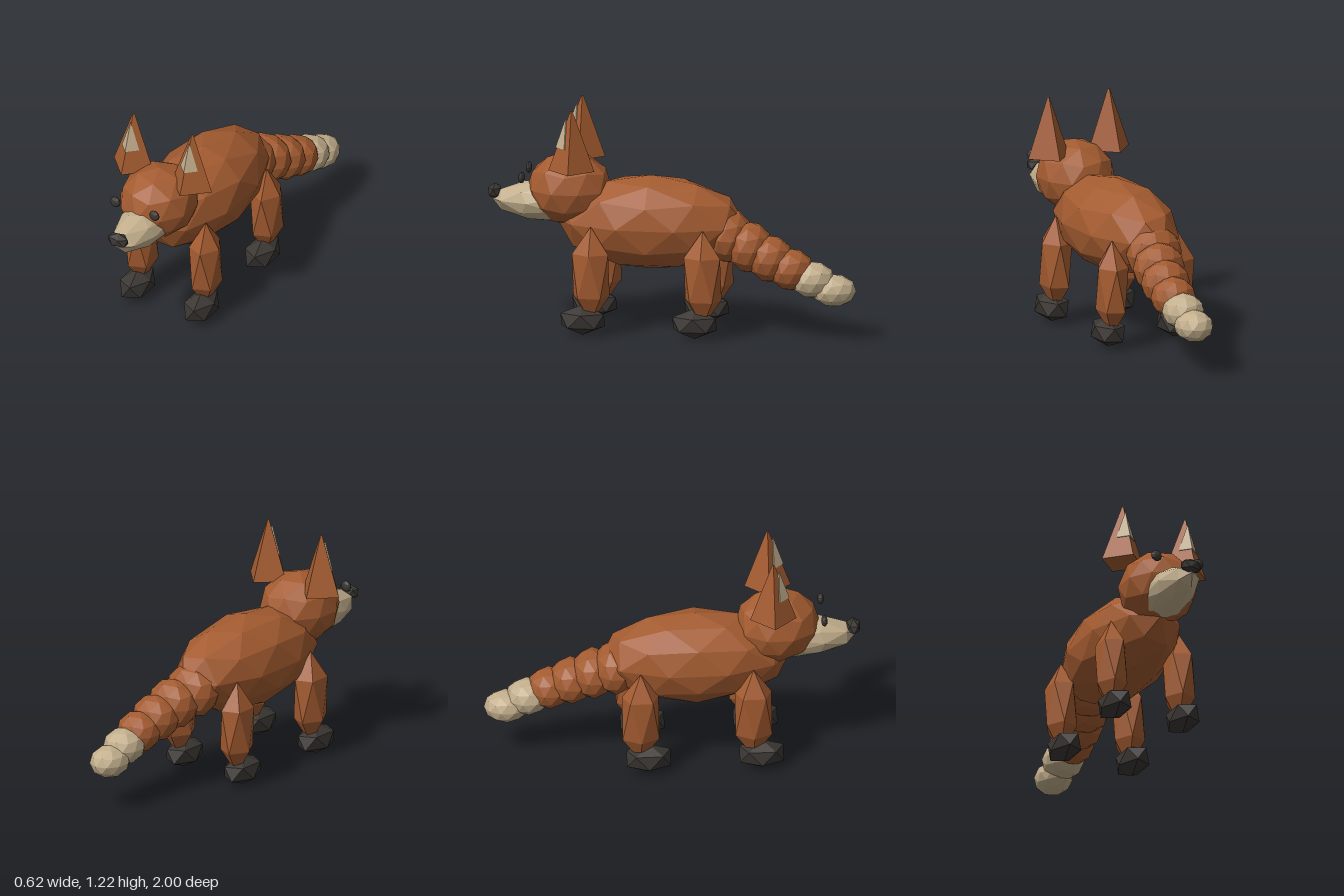
import * as THREE from 'three';

const flat = (name, color) => {
  const m = new THREE.MeshStandardMaterial({ color, flatShading: true });
  m.name = name;
  return m;
};

// Icosahedron standing on one corner, with each edge optionally halved
function icoSphere(detail) {
  const v = [0, 1, 0], f = [];
  const ring = Math.sqrt(0.8), h = Math.sqrt(0.2);
  for (const [y, offset] of [[h, 0], [-h, Math.PI / 5]]) {
    for (let k = 0; k < 5; k++) {
      const a = offset + k * Math.PI * 0.4;
      v.push(ring * Math.cos(a), y, -ring * Math.sin(a));
    }
  }
  v.push(0, -1, 0);
  for (let k = 0; k < 5; k++) {
    const n = (k + 1) % 5;
    const u0 = 1 + k, u1 = 1 + n, l0 = 6 + k, l1 = 6 + n;
    f.push(0, u0, u1, u0, l0, u1, l0, l1, u1, 11, l1, l0);
  }
  return new THREE.PolyhedronGeometry(v, f, 1, detail);
}

export function createModel() {
  const fox = new THREE.Group();
  fox.name = 'fox';

  const rust = flat('rust fur', 0xa35b30);
  const cream = flat('cream fur', 0xc2ae8c);
  const dark = flat('dark', 0x3a3632);

  const coarse = icoSphere(0);
  const fine = icoSphere(1);
  const fineForward = icoSphere(1).rotateX(Math.PI / 2);

  const add = (name, geometry, material, position, scale = [1, 1, 1]) => {
    const mesh = new THREE.Mesh(geometry, material);
    mesh.name = name;
    mesh.position.set(...position);
    mesh.scale.set(...scale);
    fox.add(mesh);
    return mesh;
  };

  // Body, head and face
  add('body', fine, rust, [0, 0.585, 0.12], [0.256, 0.255, 0.51]);
  add('head', fine, rust, [0, 0.755, 0.56], [0.21, 0.2, 0.228]);
  add('muzzle', fineForward, cream, [0, 0.682, 0.615], [0.134, 0.115, 0.365]);
  add('nose', coarse, dark, [0, 0.722, 0.965], [0.068, 0.043, 0.041]);

  const outerEar = new THREE.CylinderGeometry(0.006, 0.124, 0.327, 4);
  const innerEar = new THREE.CylinderGeometry(0.002, 0.055, 0.157, 4);

  for (const side of [1, -1]) {
    const label = side > 0 ? 'left' : 'right';

    add(label + 'Eye', fine, dark, [side * 0.123, 0.828, 0.8], [0.031, 0.031, 0.017]);
    add(label + 'Ear', outerEar, rust, [side * 0.185, 1.052, 0.522]);
    add(label + 'InnerEar', innerEar, cream, [side * 0.185, 1.093, 0.553]);

    // Legs and paws
    for (const [end, legZ, pawZ] of [['Front', 0.415, 0.458], ['Rear', -0.188, -0.145]]) {
      add(label + end + 'Leg', coarse, rust, [side * 0.202, 0.328, legZ], [0.092, 0.263, 0.115]);
      add(label + end + 'Paw', coarse, dark, [side * 0.202, 0.083, pawZ], [0.089, 0.083, 0.138]);
    }
  }

  // Tail: overlapping balls curving sideways, tip first: x, y, width radius, height radius
  const tail = [
    [0.098, 0.268, 0.102, 0.087],
    [0.097, 0.322, 0.113, 0.098],
    [0.092, 0.372, 0.122, 0.112],
    [0.074, 0.422, 0.135, 0.126],
    [0.048, 0.475, 0.145, 0.137],
    [0.012, 0.525, 0.158, 0.145],
  ];
  tail.forEach(([x, y, rx, ry], i) => {
    add(i < 2 ? 'tailTip' : 'tailSegment', fine, i < 2 ? cream : rust,
      [x, y, -0.88 + 0.115 * i], [rx, ry, 0.12]);
  });

  return fox;
}
